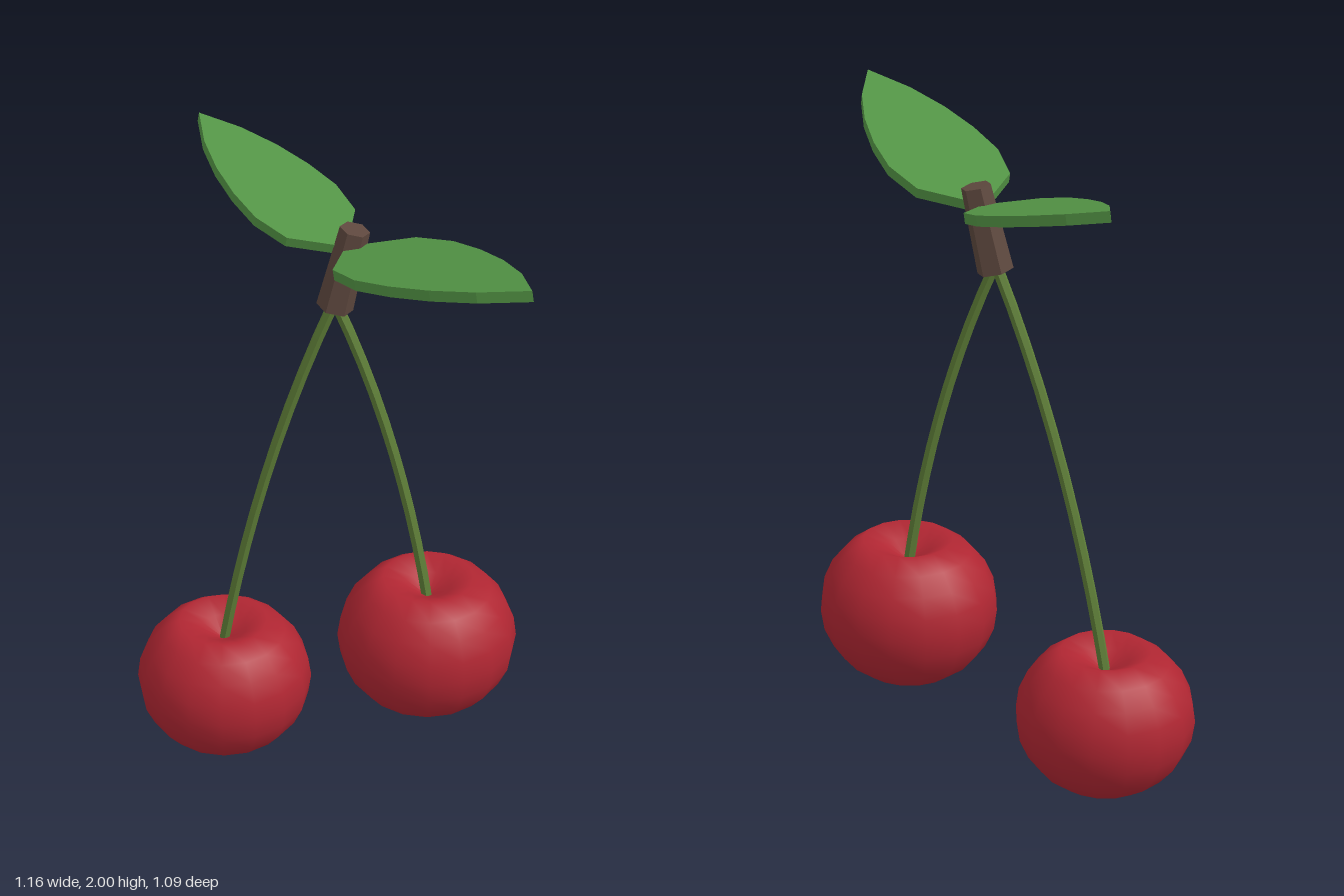
import * as THREE from 'three';

const cherryRed = new THREE.MeshStandardMaterial({ color: 0xb02632 });
cherryRed.name = 'cherryRed';
const stemGreen = new THREE.MeshStandardMaterial({ color: 0x5f7f38, flatShading: true });
stemGreen.name = 'stemGreen';
const leafGreen = new THREE.MeshStandardMaterial({ color: 0x539445, flatShading: true });
leafGreen.name = 'leafGreen';
const twigBrown = new THREE.MeshStandardMaterial({ color: 0x5e483e, flatShading: true });
twigBrown.name = 'twigBrown';

const V = (x, y, z) => new THREE.Vector3(x, y, z);

function part(name, geometry, material) {
  const mesh = new THREE.Mesh(geometry, material);
  mesh.name = name;
  return mesh;
}

// Slightly squashed ball whose top sinks into a dimple
function cherry(name, center) {
  const profile = [];
  for (let i = 0; i <= 10; i++) {
    const a = (i * Math.PI) / 12;
    profile.push(new THREE.Vector2(0.27 * Math.sin(a), -0.25 * Math.cos(a)));
  }
  profile[0].x = 0;
  profile.push(new THREE.Vector2(0.07, 0.185), new THREE.Vector2(0, 0.145));
  const mesh = part(name, new THREE.LatheGeometry(profile, 16), cherryRed);
  mesh.scale.z = 0.945;
  mesh.position.copy(center);
  return mesh;
}

// Thin curved stalk
function stem(name, start, bend, end) {
  const curve = new THREE.QuadraticBezierCurve3(start, bend, end);
  return part(name, new THREE.TubeGeometry(curve, 10, 0.017, 6), stemGreen);
}

// Flat pointed plate running from base to tip along its upper face
function leaf(name, base, tip) {
  const span = Math.hypot(tip.x - base.x, tip.z - base.z);
  const length = base.distanceTo(tip);
  const widths = [0, 0.195, 0.23, 0.213, 0.172, 0.105, 0];
  const right = widths.map((w, i) => new THREE.Vector2(w * span, (i / 6) * length));
  const left = right.slice(1, -1).reverse().map((p) => new THREE.Vector2(-p.x, p.y));
  const geometry = new THREE.ExtrudeGeometry(new THREE.Shape([...right, ...left]), {
    depth: 0.03,
    bevelEnabled: false,
  });
  geometry.translate(0, 0, -0.03);
  const along = tip.clone().sub(base).normalize();
  const side = along.clone().cross(V(0, 1, 0)).normalize();
  const normal = side.clone().cross(along);
  geometry.applyMatrix4(new THREE.Matrix4().makeBasis(side, along, normal).setPosition(base));
  return part(name, geometry, leafGreen);
}

// Leaning six-sided twig
function twig(bottom, top) {
  const axis = top.clone().sub(bottom);
  const geometry = new THREE.CylinderGeometry(0.043, 0.053, axis.length(), 6);
  geometry.rotateY(Math.PI / 6);
  const mesh = part('twig', geometry, twigBrown);
  mesh.quaternion.setFromUnitVectors(V(0, 1, 0), axis.normalize());
  mesh.position.copy(bottom).add(top).multiplyScalar(0.5);
  return mesh;
}

export function createModel() {
  const group = new THREE.Group();
  group.name = 'cherryPair';

  group.add(
    cherry('rightCherry', V(-0.31, 0.25, -0.115)),
    cherry('leftCherry', V(0.31, 0.503, 0.007)),
    stem('rightStem', V(0.03, 1.63, -0.053), V(-0.19, 1.08, -0.08), V(-0.31, 0.38, -0.115)),
    stem('leftStem', V(0.03, 1.63, -0.053), V(0.22, 1.2, -0.025), V(0.31, 0.63, 0.007)),
    twig(V(0.03, 1.61, -0.055), V(0.085, 1.855, -0.055)),
    leaf('frontLeaf', V(0.06, 1.802, -0.055), V(0.527, 2.0, 0.535)),
    leaf('backLeaf', V(0.063, 1.802, -0.053), V(-0.36, 1.972, -0.54)),
  );
  return group;
}
